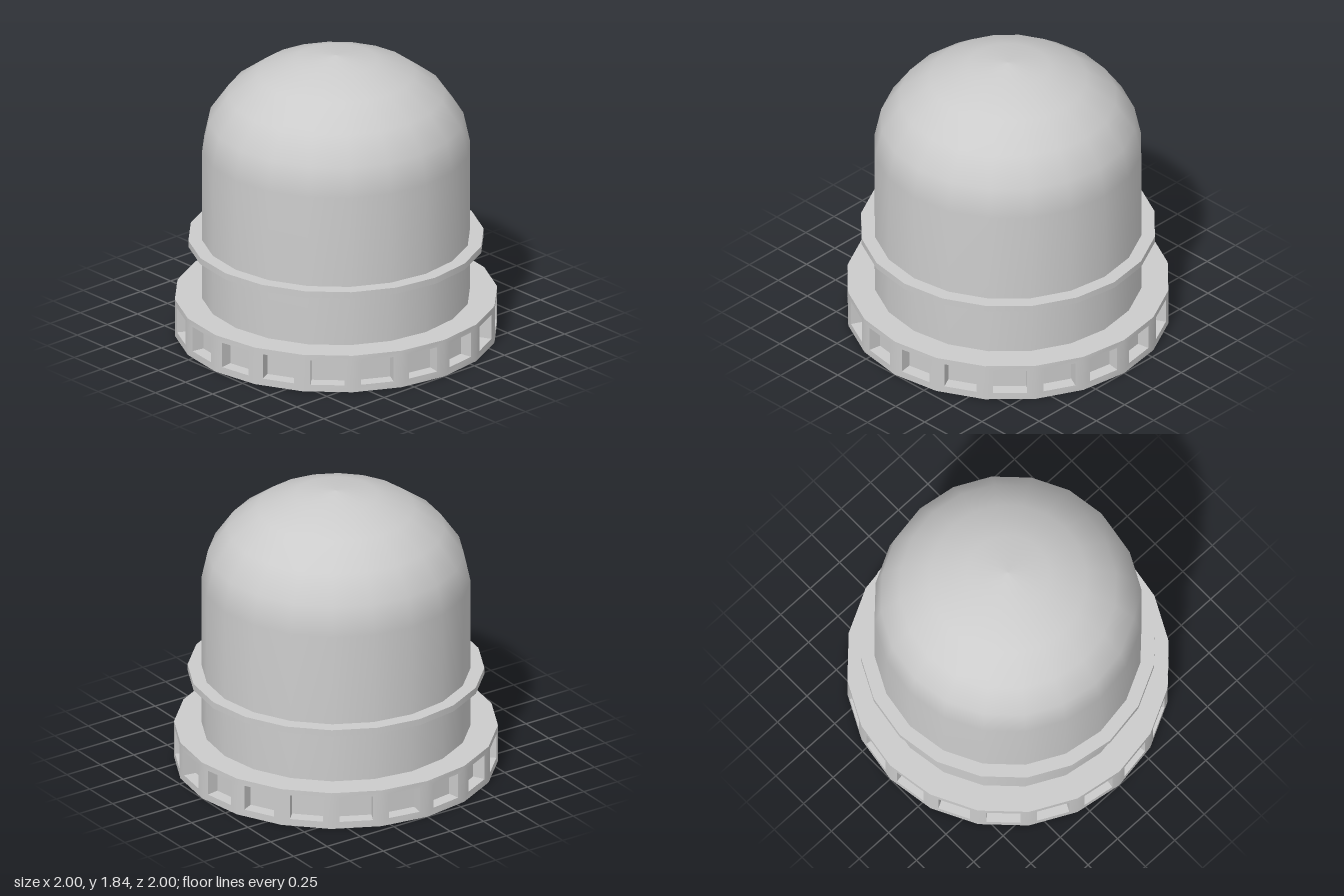
import * as THREE from 'three';
import { mergeGeometries, toCreasedNormals } from 'three/addons/utils/BufferGeometryUtils.js';

const SIDES = 20;
const material = new THREE.MeshStandardMaterial({ color: 0xcccccc });

function part(name, geometry) {
  const mesh = new THREE.Mesh(geometry, material);
  mesh.name = name;
  return mesh;
}

// Base ring: one framed, recessed window per side, closed by top and bottom discs
function baseGeometry() {
  const R = 1.001, H = 0.245, winW = 0.208, winLow = 0.045, winHigh = 0.208, depth = 0.08;
  const half = R * Math.sin(Math.PI / SIDES);
  const apothem = R * Math.cos(Math.PI / SIDES);
  const rect = (path, x, y0, y1) =>
    path.moveTo(-x, y0).lineTo(x, y0).lineTo(x, y1).lineTo(-x, y1).closePath();

  const frameShape = rect(new THREE.Shape(), half, 0, H);
  frameShape.holes.push(rect(new THREE.Path(), winW / 2, winLow, winHigh));
  const frame = new THREE.ShapeGeometry(frameShape).translate(0, 0, apothem);

  // Inside-out box without its outer face
  const recess = new THREE.BoxGeometry(winW, winHigh - winLow, depth).scale(1, 1, -1);
  recess.setIndex(Array.from(recess.index.array).slice(0, 30));
  recess.translate(0, (winLow + winHigh) / 2, apothem - depth / 2);

  const pieces = [
    new THREE.CircleGeometry(R, SIDES).rotateX(-Math.PI / 2).translate(0, H, 0),
    new THREE.CircleGeometry(R, SIDES).rotateX(Math.PI / 2),
  ];
  for (let i = 0; i < SIDES; i++) {
    const angle = ((i + 0.5) * 2 * Math.PI) / SIDES;
    pieces.push(frame.clone().rotateY(angle), recess.clone().rotateY(angle));
  }
  return toCreasedNormals(mergeGeometries(pieces), Math.PI / 6);
}

// Straight wall running into an elliptical dome
function domeGeometry() {
  const r = 0.832, wallTop = 1.23, rise = 0.61, steps = 5;
  const profile = [new THREE.Vector2(r, 0.24)];
  for (let i = 0; i <= steps; i++) {
    const a = (i / steps) * Math.PI / 2;
    profile.push(new THREE.Vector2(i === steps ? 0 : r * Math.cos(a), wallTop + rise * Math.sin(a)));
  }
  return new THREE.LatheGeometry(profile, SIDES);
}

export function createModel() {
  const model = new THREE.Group();
  model.name = 'domedBeacon';
  model.add(part('windowedBase', baseGeometry()));
  model.add(part('domeBody', domeGeometry()));

  // Thin collar around the body
  const collar = part('collar', new THREE.CylinderGeometry(0.917, 0.917, 0.042, SIDES));
  collar.position.y = 0.615;
  model.add(collar);
  return model;
}
